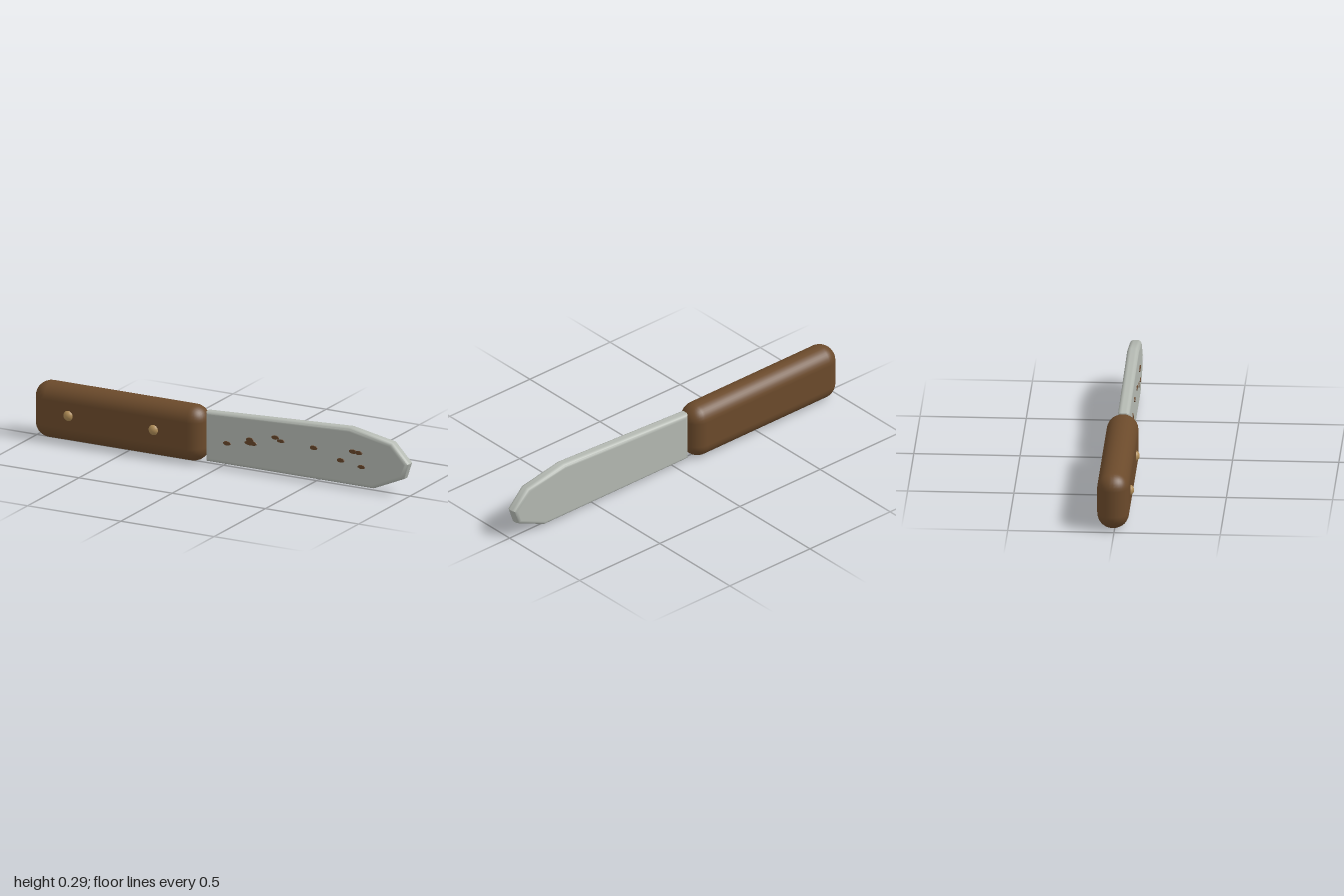
import * as THREE from 'three';
import { toCreasedNormals } from 'three/addons/utils/BufferGeometryUtils.js';
import { RoundedBoxGeometry } from 'three/addons/geometries/RoundedBoxGeometry.js';

const MID_Z = -0.008;

function material(name, color) {
  const m = new THREE.MeshStandardMaterial({ color });
  m.name = name;
  return m;
}

function addMesh(parent, name, geometry, mat, x = 0, y = 0, z = 0) {
  const mesh = new THREE.Mesh(geometry, mat);
  mesh.name = name;
  mesh.position.set(x, y, z);
  parent.add(mesh);
  return mesh;
}

// Blade: angular outline with rounded edges and perfectly flat sides
function bladeGeometry() {
  const outline = [
    [-0.088, 0.01], [0.81, 0.01], [0.975, 0.082], [1.0, 0.158],
    [0.912, 0.25], [0.685, 0.293], [-0.088, 0.256],
  ];
  const shape = new THREE.Shape(outline.map(([x, y]) => new THREE.Vector2(x, y)));
  const bevel = 0.02, thickness = 0.057;
  const extruded = new THREE.ExtrudeGeometry(shape, {
    depth: thickness - 2 * bevel, bevelEnabled: true, bevelSize: bevel,
    bevelThickness: bevel, bevelOffset: -bevel, bevelSegments: 4,
  });
  extruded.translate(0, 0, bevel - thickness / 2);
  const geometry = toCreasedNormals(extruded, 0.75);
  const { position, normal } = geometry.attributes;
  for (let i = 0; i < position.count; i++) {
    const z = position.getZ(i);
    if (Math.abs(z) > thickness / 2 - 1e-5) normal.setXYZ(i, 0, 0, Math.sign(z));
  }
  return geometry;
}

export function createModel() {
  const wood = material('wood', 0x6b4a2b);
  const steel = material('steel', 0xb4b9b2);
  const brass = material('brass', 0xb08d57);
  const rust = material('rust', 0x65452a);

  const knife = new THREE.Group();
  knife.name = 'knife';

  // Handle
  addMesh(knife, 'handle', new RoundedBoxGeometry(0.912, 0.275, 0.15, 4, 0.074), wood,
    -0.544, 0.1375, MID_Z);

  // Rivets on the front of the handle
  const rivetGeometry = new THREE.SphereGeometry(0.028, 16, 12);
  for (const x of [-0.797, -0.34]) addMesh(knife, 'rivet', rivetGeometry, brass, x, 0.14, 0.055);

  // Blade
  addMesh(knife, 'blade', bladeGeometry(), steel, 0, 0, MID_Z);

  // Rust spots on the front of the blade: x, y, half width, half height
  const spots = [
    [0.03, 0.118, 0.022, 0.011], [0.158, 0.138, 0.036, 0.012], [0.153, 0.153, 0.022, 0.013],
    [0.289, 0.186, 0.022, 0.011], [0.319, 0.173, 0.021, 0.009], [0.495, 0.167, 0.022, 0.011],
    [0.64, 0.127, 0.021, 0.011], [0.705, 0.18, 0.022, 0.011], [0.736, 0.178, 0.021, 0.011],
    [0.751, 0.111, 0.021, 0.01],
  ];
  const spotGeometry = new THREE.CylinderGeometry(0.9, 1, 0.006, 10).rotateX(Math.PI / 2);
  for (const [x, y, rx, ry] of spots) {
    addMesh(knife, 'rustSpot', spotGeometry, rust, x, y, 0.0215).scale.set(rx, ry, 1);
  }
  return knife;
}
